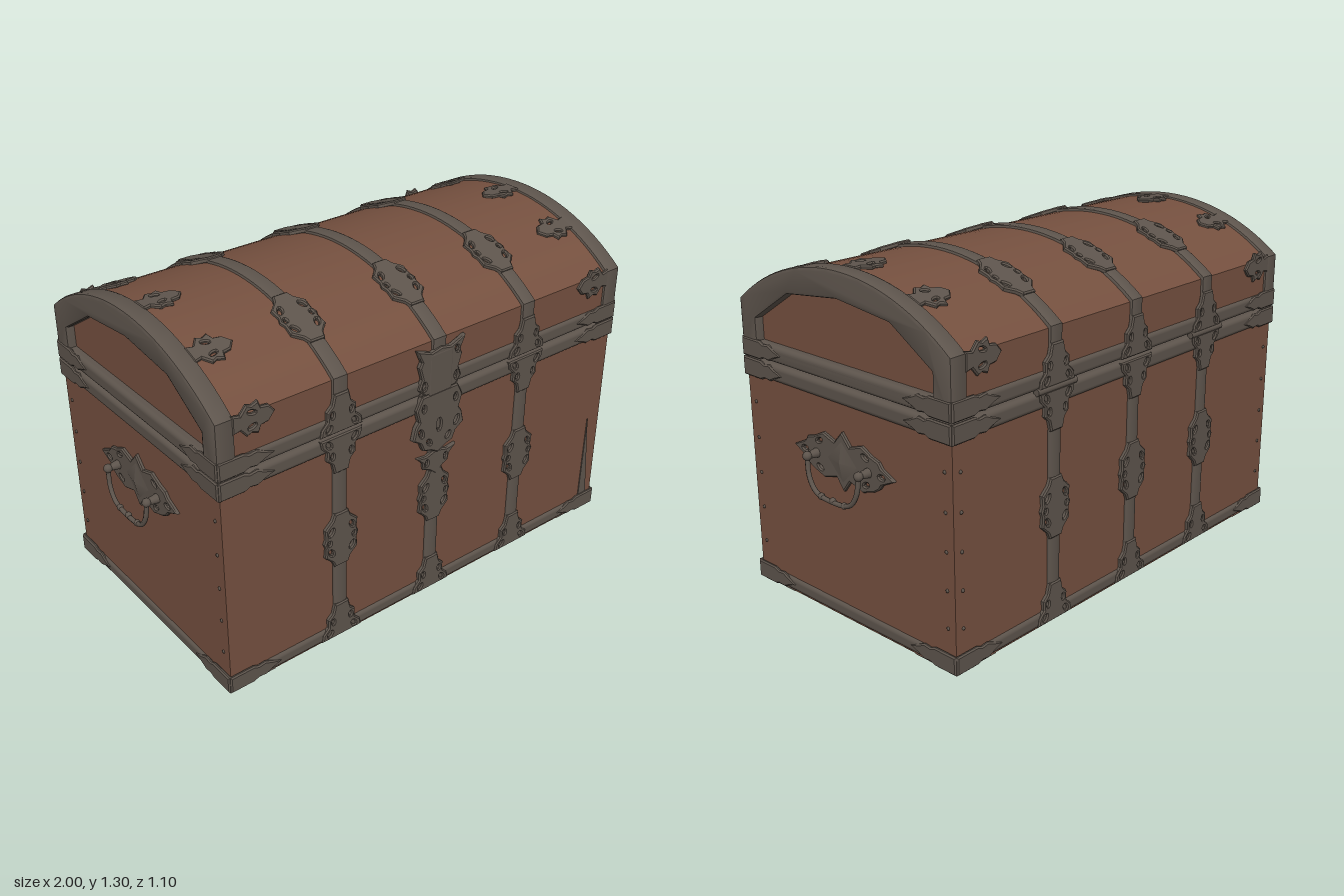
import * as THREE from 'three';
import { toCreasedNormals } from 'three/addons/utils/BufferGeometryUtils.js';
import { RoundedBoxGeometry } from 'three/addons/geometries/RoundedBoxGeometry.js';

const mat = (name, color) => Object.assign(new THREE.MeshStandardMaterial({ color }), { name });
const wood = mat('brown wood', 0x75503f);
const iron = mat('aged iron', 0x5d544c);

// Main sizes: half width, half depth, lid spring line and lid arc
const W = 0.925, D = 0.525, SPRING = 1.1, RISE = 0.185;
const R = (D * D + RISE * RISE) / (2 * RISE), CY = SPRING + RISE - R, SPAN = Math.asin(D / R);

// Lid cross-section (across the depth), grown outward by off
function lidShape(off, base) {
  const pts = [new THREE.Vector2(-D - off, base), new THREE.Vector2(D + off, base)];
  for (let i = 0; i <= 28; i++) {
    const a = SPAN - (2 * SPAN * i) / 28;
    pts.push(new THREE.Vector2(Math.sin(a) * (R + off) * (D + off) / (Math.sin(SPAN) * (R + off)), CY + Math.cos(a) * (R + off)));
  }
  return new THREE.Shape(pts);
}

// Closed outline from its right half (bottom to top), mirrored, with mirrored oval holes
function outline(half, holes = []) {
  const left = half.filter(p => p[0] > 0).map(([x, y]) => [-x, y]).reverse();
  const shape = new THREE.Shape([...half, ...left].map(p => new THREE.Vector2(...p)));
  for (const [x, y, rx, ry, tilt = 0] of holes) {
    for (const s of x === 0 ? [1] : [1, -1]) {
      const hole = new THREE.Path();
      hole.absellipse(s * x, y, rx, ry, 0, Math.PI * 2, true, s * tilt);
      shape.holes.push(hole);
    }
  }
  return shape;
}

// Thin bevelled plate facing +z, its back at z = 0
function plate(shape, thick = 0.012) {
  const bevel = Math.min(0.005, thick / 2);
  const geo = new THREE.ExtrudeGeometry(shape, {
    depth: thick - bevel, bevelThickness: bevel, bevelSize: bevel, bevelOffset: -bevel, bevelSegments: 1, curveSegments: 5,
  });
  return toCreasedNormals(geo, 0.5);
}

const medallion = plate(outline(
  [[0.03, -0.115], [0.04, -0.09], [0.072, -0.06], [0.068, -0.02], [0.076, 0], [0.068, 0.02], [0.072, 0.06], [0.04, 0.09], [0.03, 0.115]],
  [[0.046, 0.045, 0.008, 0.016, 0.5], [0.046, -0.045, 0.008, 0.016, -0.5], [0.054, 0, 0.006, 0.009]]), 0.016);
const foot = plate(outline(
  [[0.09, 0], [0.085, 0.03], [0.06, 0.055], [0.062, 0.09], [0.04, 0.11], [0.03, 0.15]],
  [[0.055, 0.025, 0.008, 0.014, 0.6], [0.04, 0.075, 0.006, 0.012]]), 0.016);
const leaf = plate(outline(
  [[0.035, 0], [0.028, 0.03], [0.058, 0.055], [0.05, 0.075], [0.06, 0.1], [0.035, 0.11], [0.03, 0.14], [0, 0.165]],
  [[0.026, 0.075, 0.006, 0.015, 0.3]]), 0.012);
const cornerTip = plate(outline(
  [[0.035, 0], [0.035, 0.1], [0.026, 0.12], [0.03, 0.15], [0.016, 0.18], [0, 0.22]]), 0.01);
const handlePlate = plate(outline(
  [[0, -0.11], [0.035, -0.065], [0.1, -0.085], [0.16, -0.065], [0.185, -0.05], [0.2, -0.03], [0.262, 0],
    [0.2, 0.03], [0.185, 0.05], [0.15, 0.06], [0.1, 0.085], [0.04, 0.065], [0, 0.11]],
  [[0.2, 0, 0.015, 0.008], [0.12, 0.05, 0.015, 0.007, -0.4], [0.12, -0.05, 0.015, 0.007, 0.4]]), 0.014);

export function createModel() {
  const chest = new THREE.Group();
  chest.name = 'treasureChest';
  const add = (name, geo, material, x = 0, y = 0, z = 0, parent = chest) => {
    const mesh = new THREE.Mesh(geo, material);
    mesh.name = name;
    mesh.position.set(x, y, z);
    parent.add(mesh);
    return mesh;
  };
  // Slab with the lid's profile running between two x positions
  const lidSlab = (name, shape, material, x0, x1, bevel = 0) => {
    const geo = new THREE.ExtrudeGeometry(shape, {
      depth: x1 - x0 - 2 * bevel, bevelEnabled: bevel > 0, bevelThickness: bevel, bevelSize: bevel, bevelOffset: -bevel, bevelSegments: 2,
    });
    geo.rotateY(Math.PI / 2);
    return add(name, toCreasedNormals(geo, 0.5), material, x0 + bevel);
  };
  // Plate lying on the lid arc at angle a from the top
  const onLid = (name, geo, x, a, spin = 0, lift = 0) => {
    const pivot = new THREE.Group();
    pivot.name = name + 'Mount';
    pivot.position.set(x, CY + Math.cos(a) * (R + lift), Math.sin(a) * (R + lift));
    pivot.rotation.x = a - Math.PI / 2;
    chest.add(pivot);
    add(name, geo, iron, 0, 0, 0, pivot).rotation.z = spin;
  };

  // Wooden box and barrel lid
  add('body', new THREE.BoxGeometry(2 * W, 0.885, 2 * D), wood, 0, 0.4425);
  lidSlab('lid', lidShape(0, 0.9), wood, -0.9, 0.9);

  // Iron rims round the bottom, the mouth and the lid's lower edge
  for (const [name, y0, y1] of [['bottomRim', 0.004, 0.06], ['mouthRim', 0.825, 0.889], ['lidRim', 0.897, 0.96]]) {
    add(name, new RoundedBoxGeometry(2 * W + 0.02, y1 - y0, 2 * D + 0.02, 3, 0.018), iron, 0, (y0 + y1) / 2);
  }

  // Arched iron frames at both ends of the lid
  const frame = lidShape(0.01, 0.9);
  frame.holes.push(new THREE.Path([[-0.45, 0.955], [-0.45, 1.045], [-0.26, 1.165], [0, 1.195], [0.26, 1.165], [0.45, 1.045], [0.45, 0.955]]
    .map(p => new THREE.Vector2(...p))));
  lidSlab('leftLidFrame', frame, iron, 0.86, 0.935, 0.012);
  lidSlab('rightLidFrame', frame, iron, -0.935, -0.86, 0.012);

  // Straps over front, lid and back, with pierced medallions
  const strap = new THREE.CylinderGeometry(0.032, 0.032, 0.86, 12).scale(1, 1, 0.36);
  for (const x of [-0.44, 0, 0.44]) {
    lidSlab('lidStrap', lidShape(0.011, 0.905), iron, x - 0.032, x + 0.032, 0.01);
    for (const s of [1, -1]) {
      const face = new THREE.Group();
      face.name = s > 0 ? 'frontStrapGroup' : 'backStrapGroup';
      face.position.x = x;
      face.rotation.y = s > 0 ? 0 : Math.PI;
      chest.add(face);
      add('strap', strap, iron, 0, 0.44, D, face);
      add('strapMedallion', medallion, iron, 0, 0.45, D, face);
      add('strapFoot', foot, iron, 0, 0.01, D, face);
      add('lidStrapFoot', foot, iron, 0, 0.9, D + 0.002, face);
      add('mouthStrapFoot', foot, iron, 0, 0.887, D + 0.001, face).rotation.z = Math.PI;
      onLid('lidMedallion', medallion, x, s * 0.37, 0, -0.003);
    }
  }

  // Leaf mounts reaching inward from the lid frames
  for (const s of [1, -1]) {
    for (const a of [-0.37, 0, 0.37]) onLid('lidLeaf', leaf, s * 0.87, a, s * Math.PI / 2);
    for (const f of [1, -1]) {
      const side = add('lidEdgeLeaf', leaf, iron, s * 0.87, 1.08, f * D);
      side.rotation.set(0, f > 0 ? 0 : Math.PI, s * f * Math.PI / 2);
    }
  }

  // Pointed corner pieces on the rims and brackets under the floor
  const bracketShape = new THREE.Shape();
  bracketShape.moveTo(0, 0);
  bracketShape.lineTo(0.2, 0);
  bracketShape.quadraticCurveTo(0.07, 0.06, 0, 0.19);
  const bracket = new THREE.ExtrudeGeometry(bracketShape, { depth: 0.006, bevelEnabled: false }).rotateX(Math.PI / 2);
  for (const s of [1, -1]) {
    for (const f of [1, -1]) {
      for (const y of [0.035, 0.855, 0.93]) {
        const a = add('frontBackCornerTip', cornerTip, iron, s * (W + 0.008), y, f * (D + 0.004));
        a.rotation.set(0, f > 0 ? 0 : Math.PI, s * f * Math.PI / 2);
        const b = add('endCornerTip', cornerTip, iron, s * (W + 0.004), y, f * (D + 0.008));
        b.rotation.order = 'YXZ';
        b.rotation.set(0, s * Math.PI / 2, -s * f * Math.PI / 2);
      }
      // Quarter turns carry the bracket's right angle into each corner
      const quarter = s > 0 ? (f > 0 ? Math.PI : -Math.PI / 2) : (f > 0 ? Math.PI / 2 : 0);
      add('floorBracket', bracket, iron, s * W, 0.003, f * D).rotation.y = quarter;
    }
  }

  // Hasp and lock on the front
  add('hasp', plate(outline(
    [[0.07, 0], [0.1, 0.03], [0.085, 0.07], [0.1, 0.12], [0.09, 0.14], [0.112, 0.19], [0.07, 0.175], [0.045, 0.165], [0, 0.175]],
    [[0.075, 0.04, 0.008, 0.016], [0.075, 0.145, 0.008, 0.014, 0.4]]), 0.018), iron, 0, 0.9, D + 0.004);
  add('haspTongue', new RoundedBoxGeometry(0.11, 0.2, 0.022, 2, 0.008), iron, 0, 0.96, D + 0.012);
  add('lockPlate', plate(outline(
    [[0, -0.01], [0.035, 0.01], [0.07, 0.02], [0.085, 0.055], [0.122, 0.08], [0.11, 0.13], [0.095, 0.15], [0.11, 0.2], [0.085, 0.25]],
    [[0.085, 0.1, 0.008, 0.018, -0.4], [0.045, 0.05, 0.007, 0.014, -0.6], [0.075, 0.2, 0.007, 0.014], [0, 0.11, 0.01, 0.025]]), 0.02), iron, 0, 0.65, D + 0.004);
  add('lockTip', plate(outline(
    [[0, 0], [0.035, 0.03], [0.06, 0.04], [0.065, 0.07], [0.095, 0.1], [0.05, 0.095], [0, 0.11]],
    [[0.045, 0.065, 0.006, 0.012]]), 0.014), iron, 0, 0.54, D + 0.003);

  // Hinges on the back
  for (const x of [-0.44, 0.44]) {
    add('hingeBarrel', new THREE.CylinderGeometry(0.013, 0.013, 0.2, 10).rotateZ(Math.PI / 2), iron, x, 0.893, -D - 0.008);
  }

  // End handles: pierced plate, two posts with knobs and a hanging bail
  for (const s of [1, -1]) {
    const handle = new THREE.Group();
    handle.name = s > 0 ? 'leftHandle' : 'rightHandle';
    handle.position.set(s * W, 0.62, 0);
    handle.rotation.y = s * Math.PI / 2;
    chest.add(handle);
    add('handlePlate', handlePlate, iron, 0, 0, 0, handle);
    add('handleBoss', new THREE.ConeGeometry(0.075, 0.014, 4).rotateX(Math.PI / 2), iron, 0, 0, 0.021, handle);
    const bail = [[-0.135, 0, 0.057], [-0.125, -0.07, 0.061], [-0.09, -0.118, 0.063], [0, -0.132, 0.064], [0.09, -0.118, 0.063], [0.125, -0.07, 0.061], [0.135, 0, 0.057]];
    const curve = new THREE.CatmullRomCurve3(bail.map(p => new THREE.Vector3(...p)));
    add('handleBail', new THREE.TubeGeometry(curve, 32, 0.009, 8), iron, 0, 0, 0, handle);
    for (const p of [-0.135, 0.135]) {
      add('handlePost', new THREE.CylinderGeometry(0.011, 0.02, 0.06, 10).rotateX(Math.PI / 2), iron, p, 0, 0.03, handle);
      add('handleKnob', new THREE.SphereGeometry(0.017, 10, 8), iron, p, 0, 0.057, handle);
    }
    for (const p of [-0.06, 0, 0.06]) {
      add('bailBead', new THREE.SphereGeometry(0.0125, 10, 8), iron, p, -0.128, 0.0625, handle);
    }
  }

  // Nails down the box's upright edges
  const nail = new THREE.SphereGeometry(0.007, 6, 4);
  for (const s of [1, -1]) {
    for (let y = 0.16; y < 0.8; y += 0.14) {
      for (const f of [1, -1]) add('endNail', nail, iron, s * W, y, f * 0.49);
      add('backNail', nail, iron, s * 0.89, y, -D);
    }
  }

  // Torn sliver of iron on the front
  const sliver = new THREE.Shape([[0.85, 0.055], [0.895, 0.055], [0.856, 0.445]].map(p => new THREE.Vector2(...p)));
  add('ironSliver', new THREE.ExtrudeGeometry(sliver, { depth: 0.004, bevelEnabled: false }), iron, 0, 0, D);

  return chest;
}
